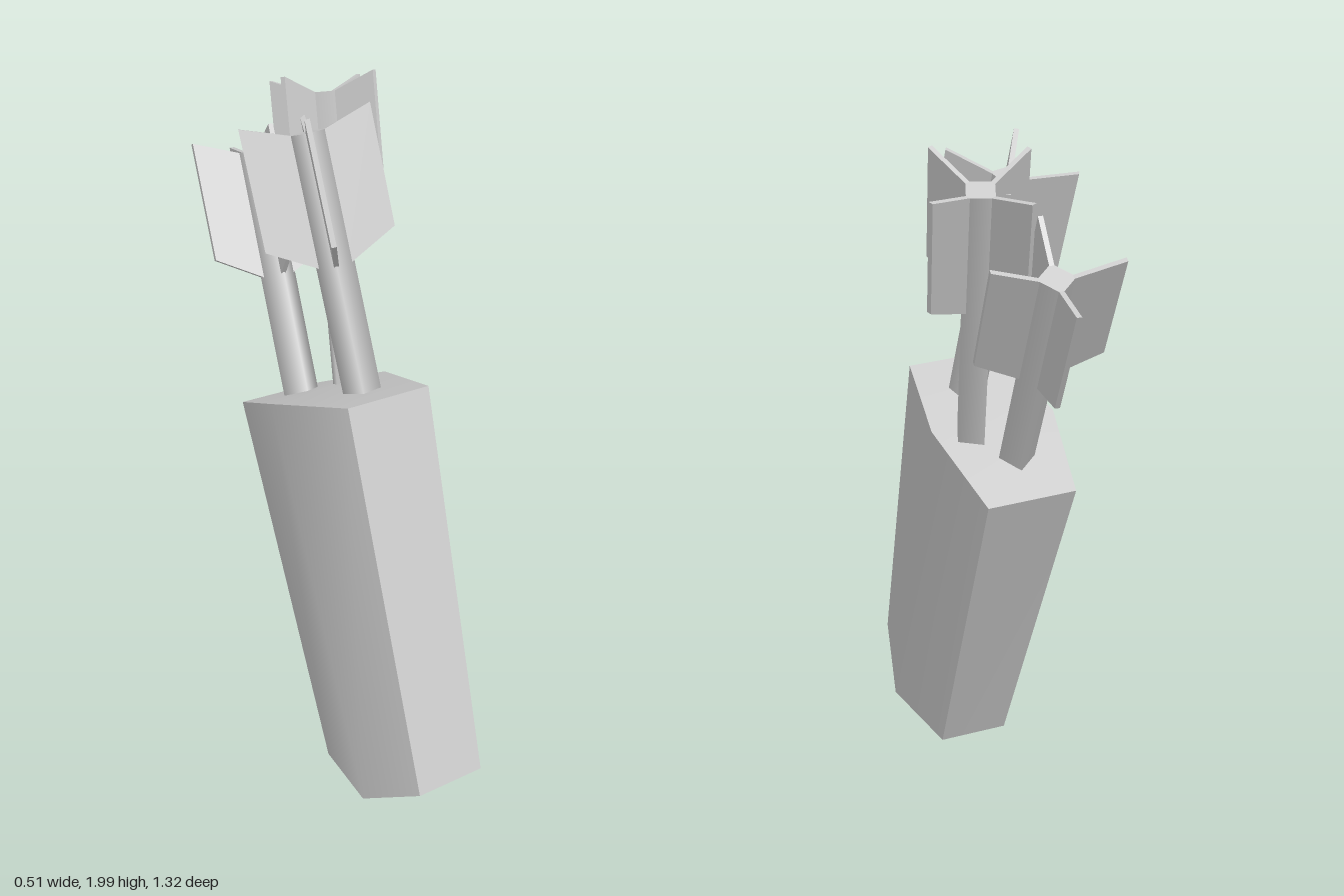
import * as THREE from 'three';
import { toCreasedNormals } from 'three/addons/utils/BufferGeometryUtils.js';

const grey = new THREE.MeshStandardMaterial({ color: 0xcccccc });

// Six-sided leaning case, lofted between its bottom and top outlines
function createQuiver() {
  // Order: front left, front right, right, back right, back left, left
  const bottom = [[-0.15, 0.2, 0.66], [0.06, 0.2, 0.645], [0.095, 0.05, 0.45],
    [0.02, 0, 0.19], [-0.19, 0.01, 0.19], [-0.22, 0.06, 0.46]];
  const top = [[-0.17, 1.26, 0.28], [0.09, 1.25, 0.26], [0.12, 1.15, -0.03],
    [0.045, 1.01, -0.29], [-0.22, 1.02, -0.275], [-0.26, 1.16, 0]];
  const index = [];
  const quad = (a, b, c, d) => index.push(a, b, c, a, c, d);
  for (let i = 0; i < 6; i++) {
    const j = (i + 1) % 6;
    quad(i, j, 6 + j, 6 + i);
  }
  // Top and bottom each fold along the left-right line
  quad(6, 7, 8, 11);
  quad(11, 8, 9, 10);
  quad(5, 2, 1, 0);
  quad(4, 3, 2, 5);
  const geometry = new THREE.BufferGeometry();
  geometry.setAttribute('position', new THREE.Float32BufferAttribute([...bottom, ...top].flat(), 3));
  geometry.setIndex(index);
  const quiver = new THREE.Mesh(toCreasedNormals(geometry, 0.65), grey);
  quiver.name = 'quiver';
  return quiver;
}

// Slanted feather outline: x is distance from the shaft, y runs along it
const FIN_THICKNESS = 0.014;
const finShape = new THREE.Shape([
  new THREE.Vector2(0.03, -0.37), new THREE.Vector2(0.178, -0.29),
  new THREE.Vector2(0.178, 0.045), new THREE.Vector2(0.03, -0.005),
]);
const finGeometry = new THREE.ExtrudeGeometry(finShape, { depth: FIN_THICKNESS, bevelEnabled: false });
finGeometry.translate(0, 0, -FIN_THICKNESS / 2);

// Arrow whose origin is the nock end; base is where it enters the quiver
function createArrow(name, base, tip, roll) {
  const end = new THREE.Vector3(...tip);
  const axis = end.clone().sub(new THREE.Vector3(...base));
  const length = axis.length() + 0.06;
  const arrow = new THREE.Group();
  arrow.name = name;

  const shaftGeometry = new THREE.CylinderGeometry(0.053, 0.053, length, 4);
  shaftGeometry.translate(0, -length / 2, 0);
  const shaft = new THREE.Mesh(shaftGeometry, grey);
  shaft.name = 'shaft';
  arrow.add(shaft);

  // Four feathers on the corners of the square shaft
  for (let i = 0; i < 4; i++) {
    const fin = new THREE.Mesh(finGeometry, grey);
    fin.name = 'feather';
    fin.rotation.y = i * Math.PI / 2;
    arrow.add(fin);
  }

  arrow.position.copy(end);
  arrow.quaternion.setFromUnitVectors(new THREE.Vector3(0, 1, 0), axis.normalize());
  arrow.rotateY(THREE.MathUtils.degToRad(roll));
  return arrow;
}

export function createModel() {
  const model = new THREE.Group();
  model.name = 'quiverWithArrows';
  model.add(
    createQuiver(),
    createArrow('frontArrow', [-0.04, 1.2, 0.125], [-0.075, 1.88, -0.115], -23),
    createArrow('middleArrow', [0.01, 1.14, -0.05], [0.085, 1.9, -0.33], 27),
    createArrow('backArrow', [-0.095, 1.09, -0.14], [-0.06, 1.7, -0.485], -4),
  );
  return model;
}
